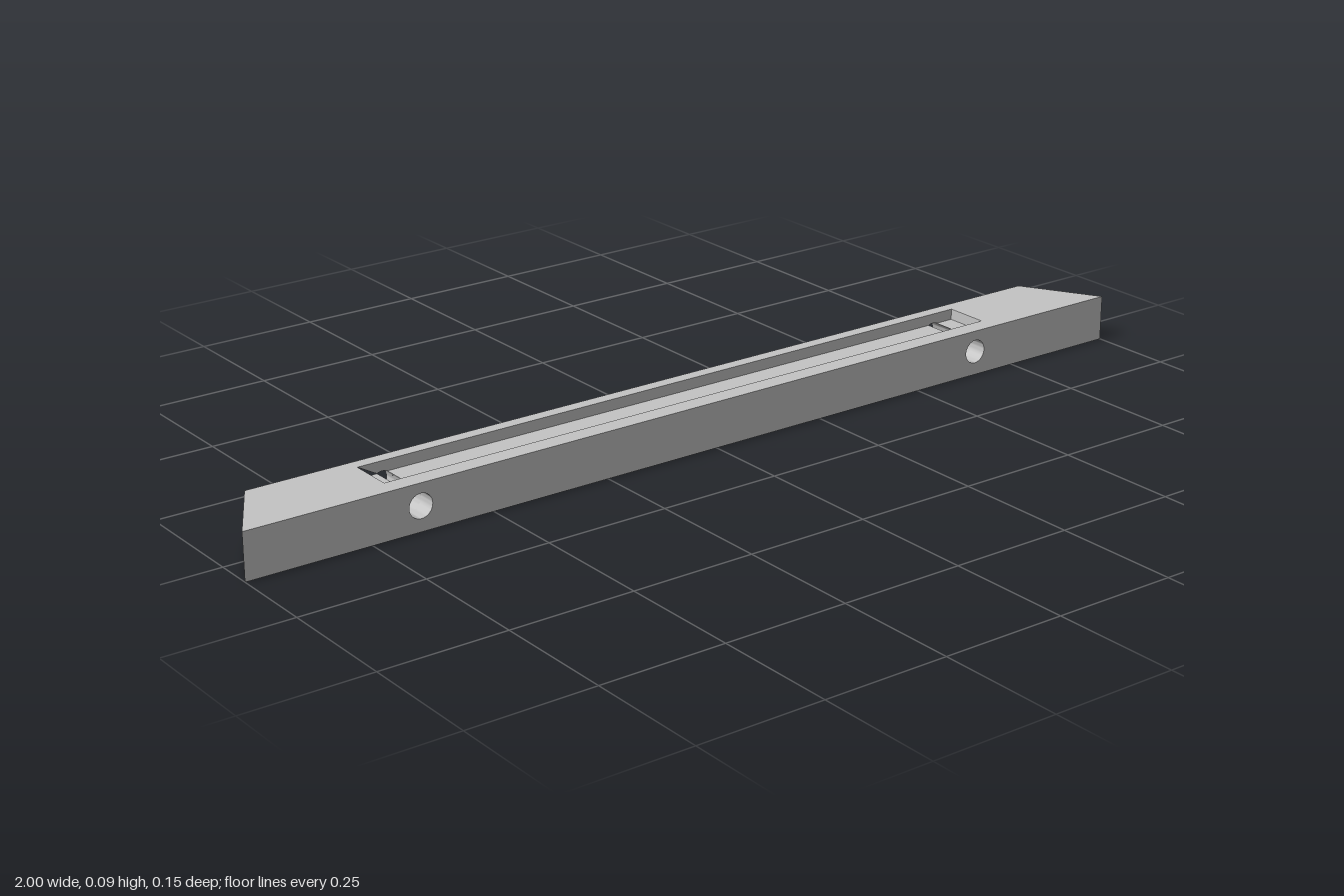
import * as THREE from 'three';
import { mergeGeometries, toCreasedNormals } from 'three/addons/utils/BufferGeometryUtils.js';

const H = 0.0925, D = 0.077;              // height and half depth of the bar
const MITRE = 0.09;                       // how far the ends slope in towards the back
const POCKET = 0.7, FLOOR = 0.0705;       // pocket half length and floor height
const Z_BACK = -0.051, Z_FRONT = 0.039;   // pocket walls
const CX = 0.65, CY = 0.049, R = 0.024;   // cross holes
const A = Math.asin((FLOOR - CY) / R);    // angle where a hole breaks through the floor
const SEG = 16;

// Full front outline with the two round holes
function solidProfile() {
  const s = new THREE.Shape([[-1, 0], [1, 0], [1, H], [-1, H]].map(p => new THREE.Vector2(...p)));
  for (const x of [-CX, CX]) {
    s.holes.push(new THREE.Path().absarc(x, CY, R, 0, Math.PI * 2, true));
  }
  return s;
}

// Outline through the pocket, where the holes open into the floor as grooves
function pocketProfile() {
  const s = new THREE.Shape();
  s.moveTo(-1, 0).lineTo(1, 0).lineTo(1, H).lineTo(POCKET, H).lineTo(POCKET, FLOOR);
  for (const x of [CX, -CX]) s.absarc(x, CY, R, A, Math.PI - A, true);
  s.lineTo(-POCKET, FLOOR).lineTo(-POCKET, H).lineTo(-1, H);
  return s;
}

// Long pocket wall, arched over the holes
function wallProfile() {
  const s = new THREE.Shape();
  s.moveTo(-POCKET, FLOOR);
  for (const x of [-CX, CX]) s.absarc(x, CY, R, Math.PI - A, A, true);
  s.lineTo(POCKET, FLOOR).lineTo(POCKET, H).lineTo(-POCKET, H);
  return s;
}

// Sides of an extruded profile without its end caps
function sleeve(shape, z0, z1) {
  const e = new THREE.ExtrudeGeometry(shape, { depth: z1 - z0, bevelEnabled: false, curveSegments: SEG });
  const { start, count } = e.groups.find(g => g.materialIndex === 1);
  const g = new THREE.BufferGeometry();
  const part = e.attributes.position.array.slice(start * 3, (start + count) * 3);
  g.setAttribute('position', new THREE.BufferAttribute(part, 3));
  return g.translate(0, 0, z0);
}

// Flat face at depth z, facing front or back
function face(shape, z, toBack) {
  const g = new THREE.ShapeGeometry(shape, SEG).toNonIndexed();
  g.deleteAttribute('uv');
  g.deleteAttribute('normal');
  if (toBack) g.rotateY(Math.PI);
  return g.translate(0, 0, z);
}

export function createModel() {
  const grey = new THREE.MeshStandardMaterial({ color: 0xc4c4c4 });
  grey.name = 'grey';

  const geo = mergeGeometries([
    sleeve(solidProfile(), -D, Z_BACK),
    sleeve(pocketProfile(), Z_BACK, Z_FRONT),
    sleeve(solidProfile(), Z_FRONT, D),
    face(solidProfile(), D, false),
    face(solidProfile(), -D, true),
    face(wallProfile(), Z_BACK, false),
    face(wallProfile(), Z_FRONT, true),
  ]);

  // Mitre the two ends
  const p = geo.attributes.position;
  for (let i = 0; i < p.count; i++) {
    const x = p.getX(i);
    if (Math.abs(x) > 0.9) p.setX(i, Math.sign(x) * (1 - MITRE * (D - p.getZ(i)) / (2 * D)));
  }
  geo.computeVertexNormals();

  const bar = new THREE.Mesh(toCreasedNormals(geo, 0.5), grey);
  bar.name = 'mitredBar';
  const group = new THREE.Group();
  group.name = 'slottedBar';
  group.add(bar);
  return group;
}
